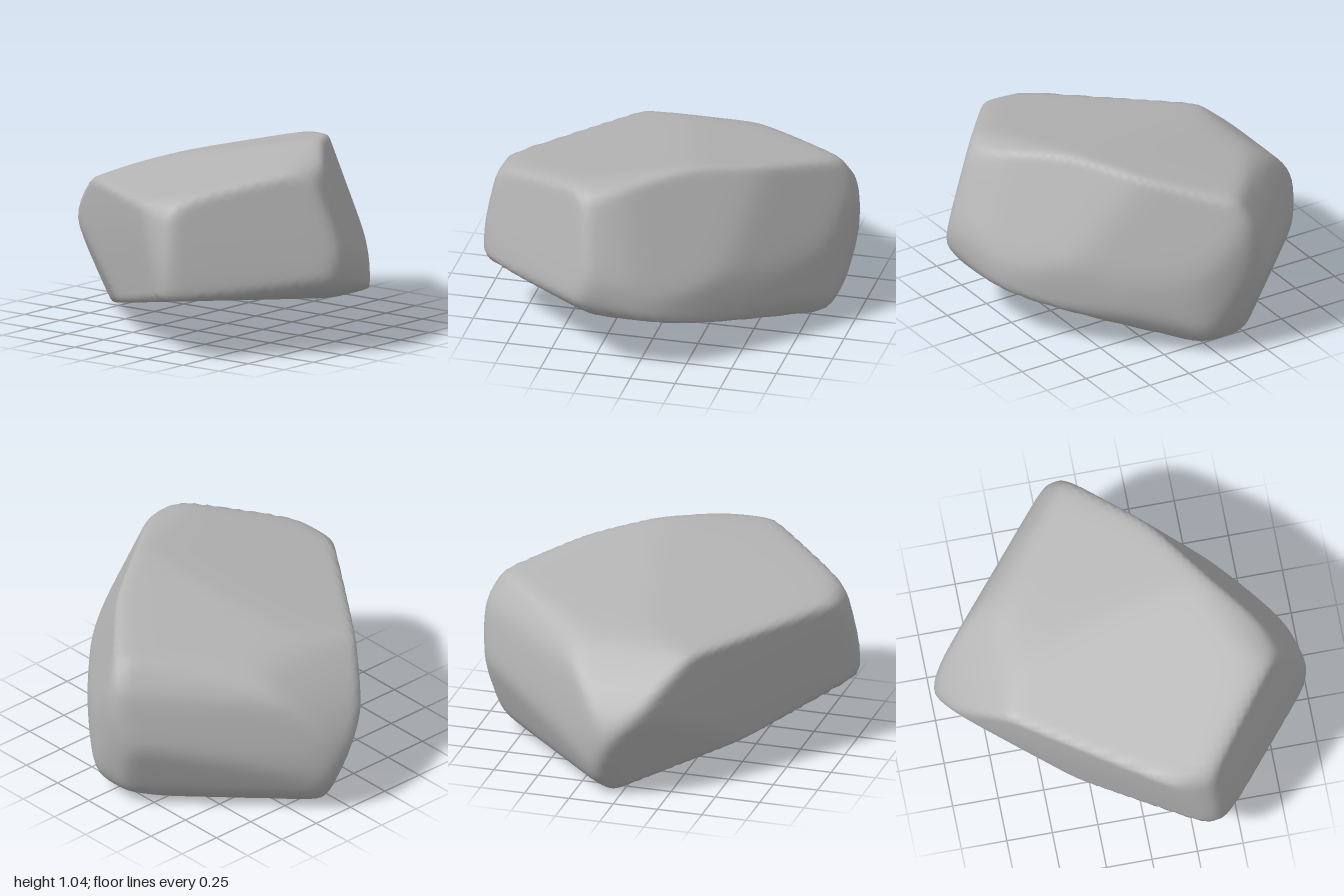
import * as THREE from 'three';
import { mergeVertices } from 'three/addons/utils/BufferGeometryUtils.js';

const CENTRE = new THREE.Vector3(0, 0.5, 0);
const SHARPNESS = 64; // higher gives tighter edges
const SWELL = 1.021; // makes up for what the soft edges take away

// Outlines of the stone along each axis
const frontOutline = [ // x, y
  [-0.98, 0.45], [-0.9, 0.81], [-0.86, 0.85], [-0.75, 0.9], [-0.3, 1.01], [0.2, 1.05], [0.4, 1.03],
  [0.87, 0.9], [0.94, 0.8], [0.98, 0.6], [0.96, 0.43], [0.89, 0.14], [0.85, 0.08], [0.65, 0],
  [0.07, 0], [-0.82, 0.24], [-0.95, 0.31], [-0.98, 0.4],
];
const sideOutline = [ // z, y
  [1, 0.53], [0.97, 0.68], [0.9, 0.85], [0.8, 0.97], [0.74, 1], [0.48, 1.05], [0.2, 1.01],
  [-0.5, 0.85], [-0.62, 0.8], [-0.8, 0.66], [-0.9, 0.55], [-0.96, 0.46], [-1, 0.35], [-0.96, 0.2],
  [-0.9, 0.08], [-0.79, 0], [-0.19, 0], [0.44, 0.16], [0.85, 0.29], [0.93, 0.34], [0.97, 0.4],
];
const topOutline = [ // x, z
  [0.05, -1], [0.17, -0.94], [0.92, -0.31], [0.98, -0.17], [0.87, 0.1], [0.61, 0.43], [0.2, 0.82],
  [0.08, 0.9], [-0.1, 0.96], [-0.26, 0.99], [-0.32, 0.97], [-0.93, 0.44], [-0.98, 0.35],
  [-0.9, 0.13], [-0.8, -0.01], [-0.3, -0.76], [-0.2, -0.87], [-0.06, -0.97],
];

// Tilted faces: outward normal, then a point on the face
const faces = [
  [[0.03, 1, -0.205], [0, 0.957, 0]],            // top, left half
  [[-0.15, 1, -0.17], [0, 0.94, 0]],             // top, right half
  [[0.3, 1, -0.6], [0.4, 0.745, -0.65]],         // top, back left bevel
  [[0.5, 0.58, -0.66], [0.45, 0.73, -0.6]],      // back left, upper bevel
  [[-0.15, -1, 0.15], [0, 0.14, 0]],             // sloping underside
  [[-0.656, 0.22, 0.755], [-0.6, 0.4, 0.72]],    // front right end
  [[-0.42, -0.8, 0.6], [-0.55, 0.36, 0.73]],     // front right, lower bevel
  [[0.33, 0.43, 0.94], [0, 0.5, 0.93]],          // front
  [[0.58, 0.42, 0.78], [0.3, 0.45, 0.73]],       // front, middle
  [[0.76, 0.28, 0.65], [0.65, 0.42, 0.38]],      // front left
  [[0.6, -0.5, 0.6], [0.58, 0.22, 0.43]],        // front left, lower bevel
  [[0.64, 0.18, -0.77], [0.5, 0.4, -0.66]],      // back left
  [[0.66, -0.34, -0.66], [0.52, 0.1, -0.52]],    // back left, lower bevel
  [[0.43, -0.79, -0.43], [0.36, 0, -0.5]],       // back left, bottom bevel
  [[-0.83, -0.11, -0.555], [-0.55, 0.75, -0.39]], // back right
  [[-0.65, -0.38, -0.62], [-0.34, 0.12, -0.48]], // back right, lower bevel
];

// A plane is stored as its normal divided by its distance from the centre
function makePlane(normal, point) {
  const n = normal.clone().normalize();
  return n.divideScalar(n.dot(point.clone().sub(CENTRE)));
}

// One plane through each edge of an outline
function outlinePlanes(points, lift) {
  return points.map(([a, b], i) => {
    const [c, d] = points[(i + 1) % points.length];
    return makePlane(lift(d - b, a - c), lift((a + c) / 2, (b + d) / 2, true));
  });
}

function stoneGeometry() {
  const V = (x, y, z) => new THREE.Vector3(x, y, z);
  const planes = [
    ...outlinePlanes(frontOutline, (a, b) => V(a, b, 0)),
    ...outlinePlanes(sideOutline, (a, b) => V(0, b, a)),
    ...outlinePlanes(topOutline, (a, b, isPoint) => V(a, isPoint ? CENTRE.y : 0, b)),
    ...faces.map(([n, p]) => makePlane(V(...n), V(...p))),
  ];

  // Push a fine sphere out to the softly blended planes
  const ball = new THREE.IcosahedronGeometry(1, 30);
  ball.deleteAttribute('normal');
  ball.deleteAttribute('uv');
  const geometry = mergeVertices(ball, 1e-5);
  const position = geometry.attributes.position;
  const v = new THREE.Vector3();
  for (let i = 0; i < position.count; i++) {
    v.fromBufferAttribute(position, i).normalize();
    let sum = 0;
    for (const p of planes) sum += Math.max(0, p.dot(v)) ** SHARPNESS;
    v.multiplyScalar(SWELL * sum ** (-1 / SHARPNESS));
    position.setXYZ(i, v.x, v.y, v.z);
  }

  // Stand it on the ground
  geometry.computeBoundingBox();
  geometry.translate(0, -geometry.boundingBox.min.y, 0);
  geometry.computeVertexNormals();
  return geometry;
}

export function createModel() {
  const stoneGrey = new THREE.MeshStandardMaterial({ color: 0xb4b4b4 });
  stoneGrey.name = 'stone grey';
  const stone = new THREE.Mesh(stoneGeometry(), stoneGrey);
  stone.name = 'stone';
  const group = new THREE.Group();
  group.name = 'rock';
  group.add(stone);
  return group;
}
